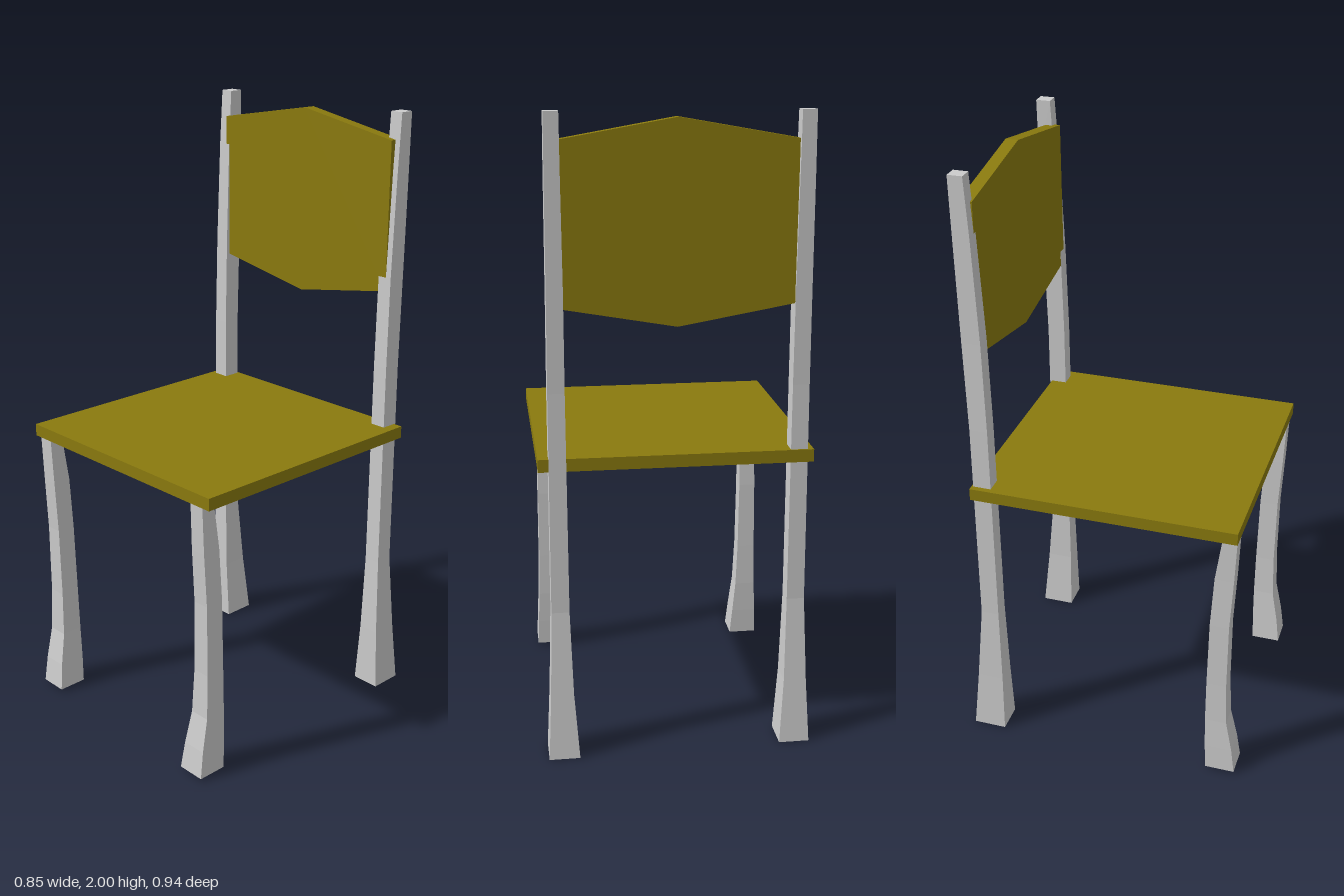
import * as THREE from 'three';

const grey = new THREE.MeshStandardMaterial({ color: 0xcccccc, flatShading: true });
const olive = new THREE.MeshStandardMaterial({ color: 0x8a7a0e, flatShading: true });

// Square-section post through sections [y, xMin, xMax, zMin, zMax]
function post(name, sections, dx = 0, dz = 0) {
  const pos = [], idx = [];
  for (const [y, x0, x1, z0, z1] of sections) {
    for (const [x, z] of [[x0, z1], [x1, z1], [x1, z0], [x0, z0]]) pos.push(x + dx, y, z + dz);
  }
  for (let s = 0; s < sections.length - 1; s++) {
    for (let k = 0; k < 4; k++) {
      const a = s * 4 + k, b = s * 4 + (k + 1) % 4;
      idx.push(a, b, b + 4, a, b + 4, a + 4);
    }
  }
  const t = (sections.length - 1) * 4;
  idx.push(0, 2, 1, 0, 3, 2, t, t + 1, t + 2, t, t + 2, t + 3);
  const indexed = new THREE.BufferGeometry();
  indexed.setAttribute('position', new THREE.Float32BufferAttribute(pos, 3));
  indexed.setIndex(idx);
  const geo = indexed.toNonIndexed();
  geo.computeVertexNormals();
  const mesh = new THREE.Mesh(geo, grey);
  mesh.name = name;
  return mesh;
}

export function createModel() {
  const chair = new THREE.Group();
  chair.name = 'chair';

  // Seat board
  const seat = new THREE.Mesh(new THREE.BoxGeometry(0.85, 0.04, 0.87), olive);
  seat.position.set(0, 0.955, 0.015);
  seat.name = 'seat';
  chair.add(seat);

  // Rear legs run up into the back posts; the pair is slightly uneven
  const rear = [
    [0.00, 0.315, 0.412, -0.472, -0.362],
    [0.21, 0.330, 0.402, -0.452, -0.364],
    [0.48, 0.338, 0.394, -0.428, -0.368],
    [1.18, 0.340, 0.392, -0.427, -0.368],
    [1.48, 0.340, 0.390, -0.434, -0.373],
    [1.82, 0.343, 0.389, -0.440, -0.386],
    [2.00, 0.344, 0.388, -0.443, -0.396],
  ];
  chair.add(post('rearLegLeft', rear));
  const rearRight = rear.map(([y, x0, x1, z0, z1]) => [y, -x1, -x0, z0, z1]);
  chair.add(post('rearLegRight', rearRight, -0.014, 0.013));

  // Curved front legs with flared feet
  const front = [
    [0.01, 0.310, 0.405, 0.372, 0.470],
    [0.10, 0.318, 0.402, 0.367, 0.458],
    [0.21, 0.328, 0.398, 0.364, 0.436],
    [0.36, 0.334, 0.395, 0.364, 0.430],
    [0.60, 0.338, 0.394, 0.368, 0.431],
    [0.78, 0.338, 0.392, 0.378, 0.440],
    [0.94, 0.340, 0.392, 0.400, 0.446],
  ];
  chair.add(post('frontLegLeft', front));
  const frontRight = front.map(([y, x0, x1, z0, z1]) => [y, -x1, -x0, z0, z1]);
  chair.add(post('frontLegRight', frontRight, -0.011));

  // Six-sided backrest panel
  const outline = [[-0.37, 1.435], [0, 1.37], [0.37, 1.435], [0.37, 1.915], [0, 1.98], [-0.37, 1.915]];
  const shape = new THREE.Shape(outline.map(([x, y]) => new THREE.Vector2(x, y)));
  const back = new THREE.Mesh(new THREE.ExtrudeGeometry(shape, { depth: 0.041, bevelEnabled: false }), olive);
  back.position.z = -0.414;
  back.name = 'backrest';
  chair.add(back);

  return chair;
}
